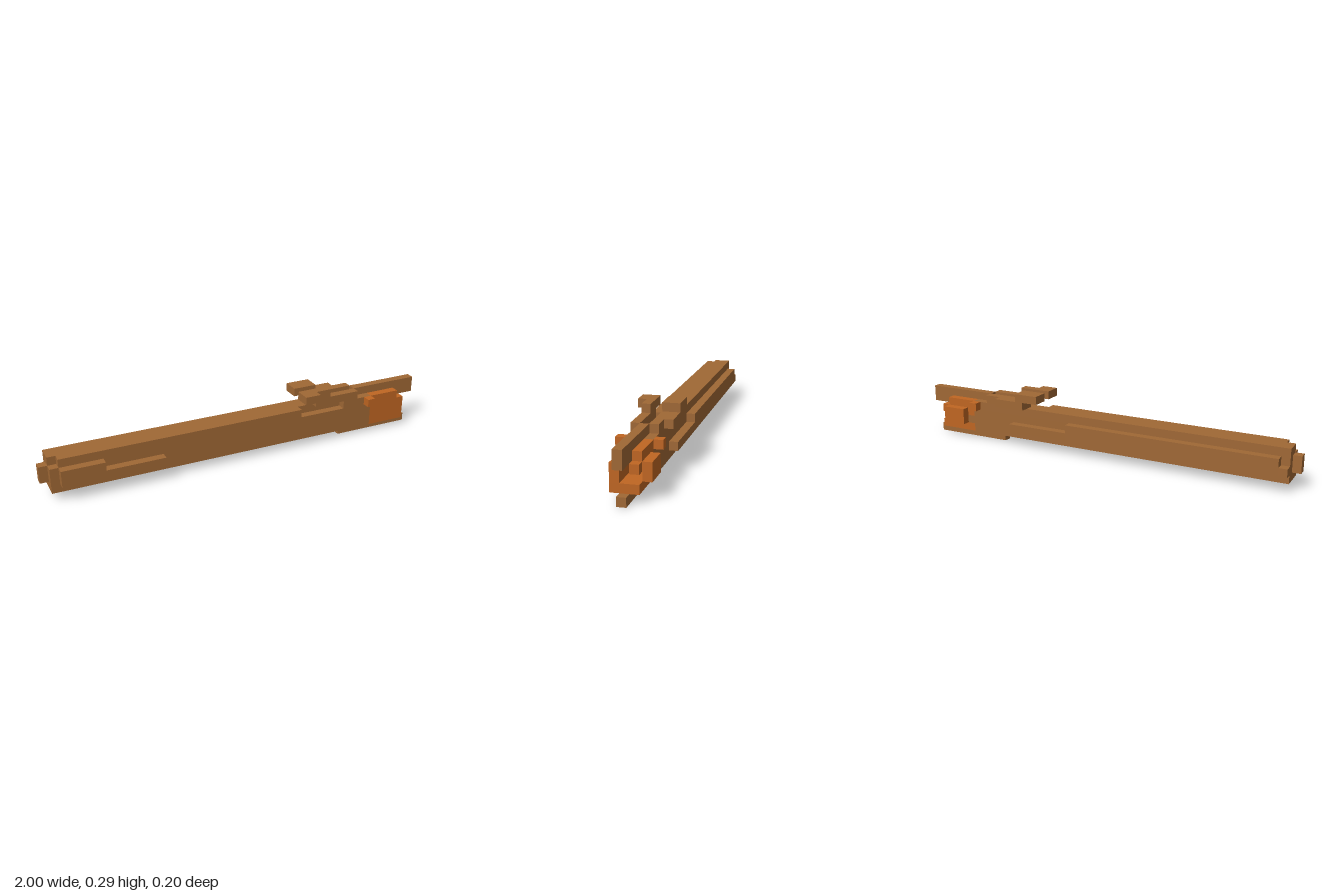
import * as THREE from 'three';

const U = 2 / 49; // one block; the model is 49 x 7 x 5 blocks

export function createModel() {
  const model = new THREE.Group();
  model.name = 'blockRifle';
  const brown = new THREE.MeshStandardMaterial({ color: 0xa06835 });
  brown.name = 'brown';
  const orange = new THREE.MeshStandardMaterial({ color: 0xc06622 });
  orange.name = 'orange';

  // Box between block coordinates: x 0..49, y 0..7, z 0..5 (back to front)
  function box(name, mat, x0, x1, y0, y1, z0, z1) {
    const mesh = new THREE.Mesh(
      new THREE.BoxGeometry((x1 - x0) * U, (y1 - y0) * U, (z1 - z0) * U), mat);
    mesh.position.set(((x0 + x1) / 2 - 24.5) * U, ((y0 + y1) / 2) * U, ((z0 + z1) / 2 - 2.5) * U);
    mesh.name = name;
    model.add(mesh);
  }

  // Long body, with a notched end corner and a recess in the front top edge
  box('bodyLower', brown, 1, 42, 1, 4, 1, 4);
  box('bodyTopBack', brown, 1, 42, 4, 5, 1, 3);
  box('bodyTopFront', brown, 2, 32, 4, 5, 3, 4);
  box('bodyTopFrontEnd', brown, 38, 42, 4, 5, 3, 4);
  box('endKnob', brown, 0, 1, 2, 4, 2, 3);

  // Raised side panels
  box('frontPanelTall', brown, 2, 7, 2, 4, 4, 5);
  box('frontPanelLow', brown, 7, 14, 2, 3, 4, 5);
  box('backPanelEnd', brown, 1, 2, 2, 3, 0, 1);
  box('backPanelTall', brown, 2, 28, 2, 4, 0, 1);
  box('backPanelLow', brown, 28, 36, 2, 3, 0, 1);

  // Top ridges and sight blocks
  for (const z of [1, 3]) box('topRidge', brown, 34, 40, 5, 6, z, z + 1);
  box('backRidge', brown, 34, 38, 5, 6, 0, 1);
  box('backSight', brown, 32, 35, 6, 7, 0, 2);
  box('frontSight', brown, 32, 36, 6, 7, 3, 4);
  box('frontSightTab', brown, 32, 34, 6, 7, 4, 5);

  // Upper and lower rails
  box('upperRail', brown, 40, 49, 4, 6, 2, 3);
  box('lowerRail', brown, 38, 48, 0, 1, 2, 3);

  // Hollow orange end section with a slot in the back wall
  box('endFloor', orange, 42, 47, 1, 2, 1, 4);
  box('endFrontWall', orange, 42, 47, 2, 4, 3, 4);
  box('endBackWall', orange, 42, 47, 3, 4, 1, 2);
  for (const z of [1, 3]) box('endWallTop', orange, 42, 46, 4, 5, z, z + 1);
  box('innerCore', brown, 42, 43, 2, 3, 1, 3);
  box('backPlate', orange, 43, 46, 2, 4, 0, 1);
  for (const z of [0, 4]) box('sidePin', orange, 41, 42, 4, 5, z, z + 1);

  return model;
}
